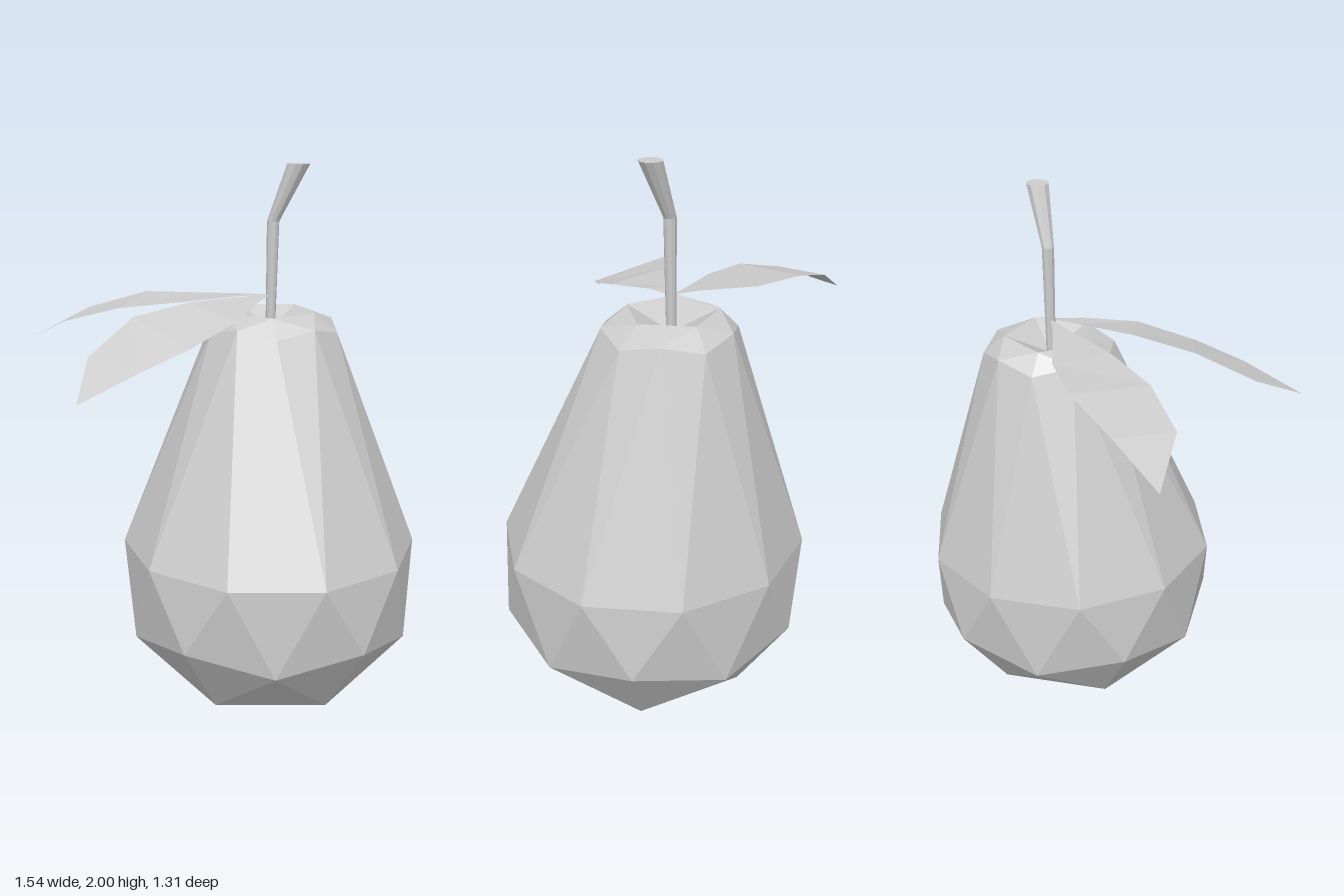
import * as THREE from 'three';

const grey = new THREE.MeshStandardMaterial({ color: 0xcccccc, flatShading: true, side: THREE.DoubleSide });
grey.name = 'light grey';

function makeMesh(name, geometry) {
  const mesh = new THREE.Mesh(geometry, grey);
  mesh.name = name;
  return mesh;
}

// Faceted geometry from a flat list of corner points, three per face
function facets(points) {
  const geometry = new THREE.BufferGeometry().setFromPoints(points);
  geometry.computeVertexNormals();
  return geometry;
}

// Fruit body: a once-split icosahedron stretched ring by ring, dented at both ends
function fruitGeometry() {
  const at = (k, r, y, cx, cz) => {
    const a = (k * Math.PI) / 5;
    return new THREE.Vector3(cx + r * Math.cos(a), y, cz + r * Math.sin(a));
  };
  const odd = (k) => Math.abs(k % 2) === 1;
  const low1 = (k) => at(k, 0.355, 0, 0.23, -0.1);
  const low2 = (k) => (odd(k) ? at(k, 0.555, 0.285, 0.23, -0.1) : at(k, 0.54, 0.23, 0.23, -0.1));
  const belly = (k) => at(k + 0.5, 0.562, 0.565, 0.23, -0.1);
  const top2 = (k) => (odd(k) ? at(k, 0.24, 1.415, 0.215, -0.175) : at(k, 0.248, 1.385, 0.215, -0.175));
  const top1 = (k) => at(k, 0.172, 1.455, 0.203, -0.175);
  const bottomDent = new THREE.Vector3(0.23, 0.11, -0.1);
  const topDent = new THREE.Vector3(0.205, 1.38, -0.175);

  const p = [];
  for (let k = 0; k < 10; k++) {
    p.push(low2(k), belly(k - 1), belly(k), low2(k + 1), low2(k), belly(k));
    p.push(belly(k), top2(k), top2(k + 1), belly(k), belly(k - 1), top2(k));
    if (odd(k)) {
      p.push(bottomDent, low1(k), low1(k + 2), low1(k + 2), low1(k), low2(k + 1));
      p.push(low1(k), low2(k), low2(k + 1), low1(k), low2(k - 1), low2(k));
    } else {
      p.push(top1(k + 2), top1(k), topDent, top2(k + 1), top1(k), top1(k + 2));
      p.push(top2(k + 1), top2(k), top1(k), top2(k), top2(k - 1), top1(k));
    }
  }
  return facets(p);
}

// Leaf: a strip between two edges that share a base and a tip
function leafGeometry(base, left, right, tip) {
  const v = (a) => new THREE.Vector3(...a);
  const l = [base, ...left, tip].map(v);
  const r = [base, ...right, tip].map(v);
  const p = [];
  for (let i = 0; i < l.length - 1; i++) {
    if (i < l.length - 2) p.push(l[i], r[i + 1], l[i + 1]);
    if (i > 0) p.push(l[i], r[i], r[i + 1]);
  }
  return facets(p);
}

// Stem: a cylinder bent and widened towards its cut end
function stemGeometry() {
  const rows = [
    { x: 0.205, y: 1.38, r: 0.018 },
    { x: 0.21, y: 1.79, r: 0.023 },
    { x: 0.303, y: 2, r: 0.042 },
  ];
  const geometry = new THREE.CylinderGeometry(1, 1, 2, 10, 2);
  const pos = geometry.attributes.position;
  for (let i = 0; i < pos.count; i++) {
    const row = rows[Math.round(pos.getY(i)) + 1];
    pos.setXYZ(i, row.x + pos.getX(i) * row.r, row.y, -0.175 + pos.getZ(i) * row.r);
  }
  geometry.computeVertexNormals();
  return geometry;
}

export function createModel() {
  const group = new THREE.Group();
  group.name = 'pear';
  group.add(makeMesh('fruit', fruitGeometry()));
  group.add(makeMesh('stem', stemGeometry()));

  // Leaf reaching to the side
  group.add(makeMesh('sideLeaf', leafGeometry(
    [0.205, 1.515, -0.175],
    [[0.1, 1.51, -0.205], [-0.12, 1.49, -0.29], [-0.345, 1.48, -0.315], [-0.57, 1.415, -0.26]],
    [[0.09, 1.508, -0.145], [-0.12, 1.487, -0.065], [-0.35, 1.46, -0.02], [-0.58, 1.395, -0.03]],
    [-0.775, 1.3, -0.18],
  )));

  // Leaf reaching forward
  group.add(makeMesh('frontLeaf', leafGeometry(
    [0.205, 1.515, -0.175],
    [[0.13, 1.515, -0.11], [-0.04, 1.51, 0.05], [-0.2, 1.475, 0.22], [-0.29, 1.365, 0.425]],
    [[0.19, 1.505, -0.05], [0.165, 1.465, 0.16], [0.06, 1.4, 0.35], [-0.07, 1.34, 0.495]],
    [-0.24, 1.25, 0.652],
  )));
  return group;
}
